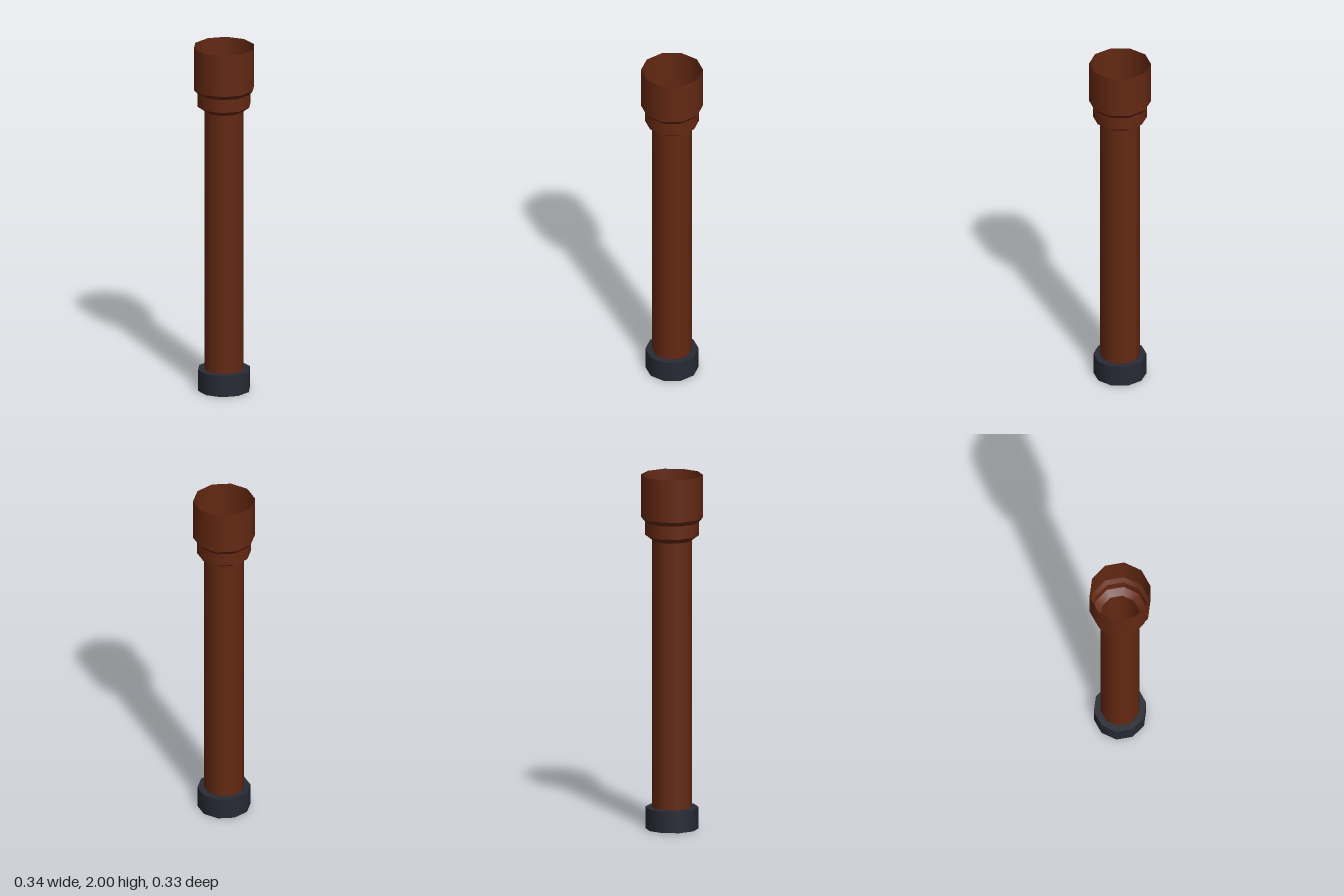
import * as THREE from 'three';
import { mergeGeometries } from 'three/addons/utils/BufferGeometryUtils.js';

const SIDES = 10;

// Turned shell: smooth around the axis, sharp between the bands of the profile
function turned(name, profile, material) {
  const bands = [];
  for (let i = 0; i < profile.length - 1; i++) {
    const pair = [profile[i], profile[i + 1]].map(([r, y]) => new THREE.Vector2(r, y));
    bands.push(new THREE.LatheGeometry(pair, SIDES, Math.PI / 2));
  }
  const mesh = new THREE.Mesh(mergeGeometries(bands), material);
  mesh.name = name;
  return mesh;
}

export function createModel() {
  const brown = new THREE.MeshStandardMaterial({ color: 0x642812, side: THREE.DoubleSide });
  brown.name = 'rust brown';
  const slate = new THREE.MeshStandardMaterial({ color: 0x282a35, side: THREE.DoubleSide });
  slate.name = 'dark slate';

  const model = new THREE.Group();
  model.name = 'pipe';

  // Long open tube
  model.add(turned('tube', [[0.11, 0.122], [0.11, 1.63]], brown));

  // Stepped open socket at the top
  model.add(turned('socket', [
    [0.11, 1.63], [0.151, 1.66], [0.151, 1.735], [0.172, 1.76], [0.172, 2],
  ], brown));

  // Collar at the foot: inner wall, then outer wall and top ledge
  model.add(turned('collarInside', [[0.11, 0.122], [0.11, 0]], slate));
  model.add(turned('collarOutside', [[0.148, 0], [0.148, 0.122], [0.11, 0.122]], slate));

  // Brown cut end under the collar
  model.add(turned('bottomRim', [[0.11, 0], [0.148, 0]], brown));

  return model;
}
